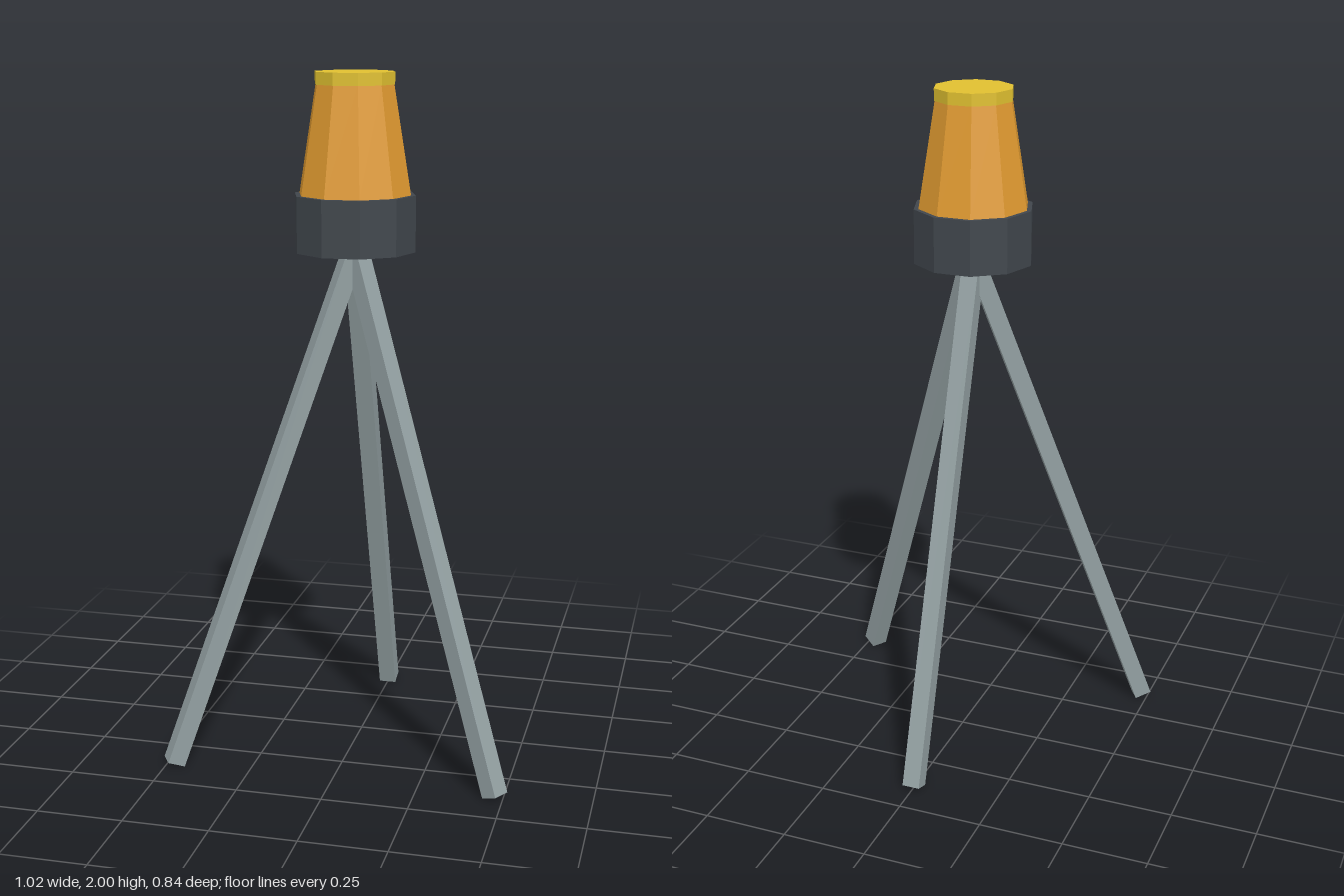
import * as THREE from 'three';

const paint = (name, color) => {
  const m = new THREE.MeshStandardMaterial({ color, flatShading: true });
  m.name = name;
  return m;
};

export function createModel() {
  const group = new THREE.Group();
  const charcoal = paint('charcoal', 0x40464c);
  const amber = paint('amber', 0xe09a30);
  const yellow = paint('yellow', 0xe0c030);
  const grey = paint('steel grey', 0x929fa1);
  const axisZ = 0.083; // the head sits a little forward of the footprint centre

  // Ten-sided sections of the lamp head, with corners on the x axis
  const section = (name, y0, y1, r0, r1, material) => {
    const geometry = new THREE.CylinderGeometry(r1, r0, y1 - y0, 10, 1, false, Math.PI / 10);
    const mesh = new THREE.Mesh(geometry, material);
    mesh.name = name;
    mesh.position.set(0, (y0 + y1) / 2, axisZ);
    group.add(mesh);
  };
  section('collar', 1.5, 1.66, 0.176, 0.176, charcoal);
  section('lens', 1.66, 1.965, 0.162, 0.113, amber);
  section('cap', 1.965, 2, 0.115, 0.115, yellow);

  // Square legs running from each foot up into the collar
  const leg = (name, foot, top) => {
    const geometry = new THREE.BoxGeometry(0.052, 0.052, foot.distanceTo(top));
    const mesh = new THREE.Mesh(geometry, grey);
    mesh.name = name;
    mesh.position.copy(foot).lerp(top, 0.5);
    mesh.lookAt(top);
    group.add(mesh);
  };
  leg('backLeg', new THREE.Vector3(0, 0.008, -0.395), new THREE.Vector3(0, 1.52, 0.094));
  for (const [name, side] of [['leftLeg', 1], ['rightLeg', -1]]) {
    leg(name, new THREE.Vector3(side * 0.477, 0.009, 0.381), new THREE.Vector3(side * -0.003, 1.52, 0.079));
  }
  return group;
}
